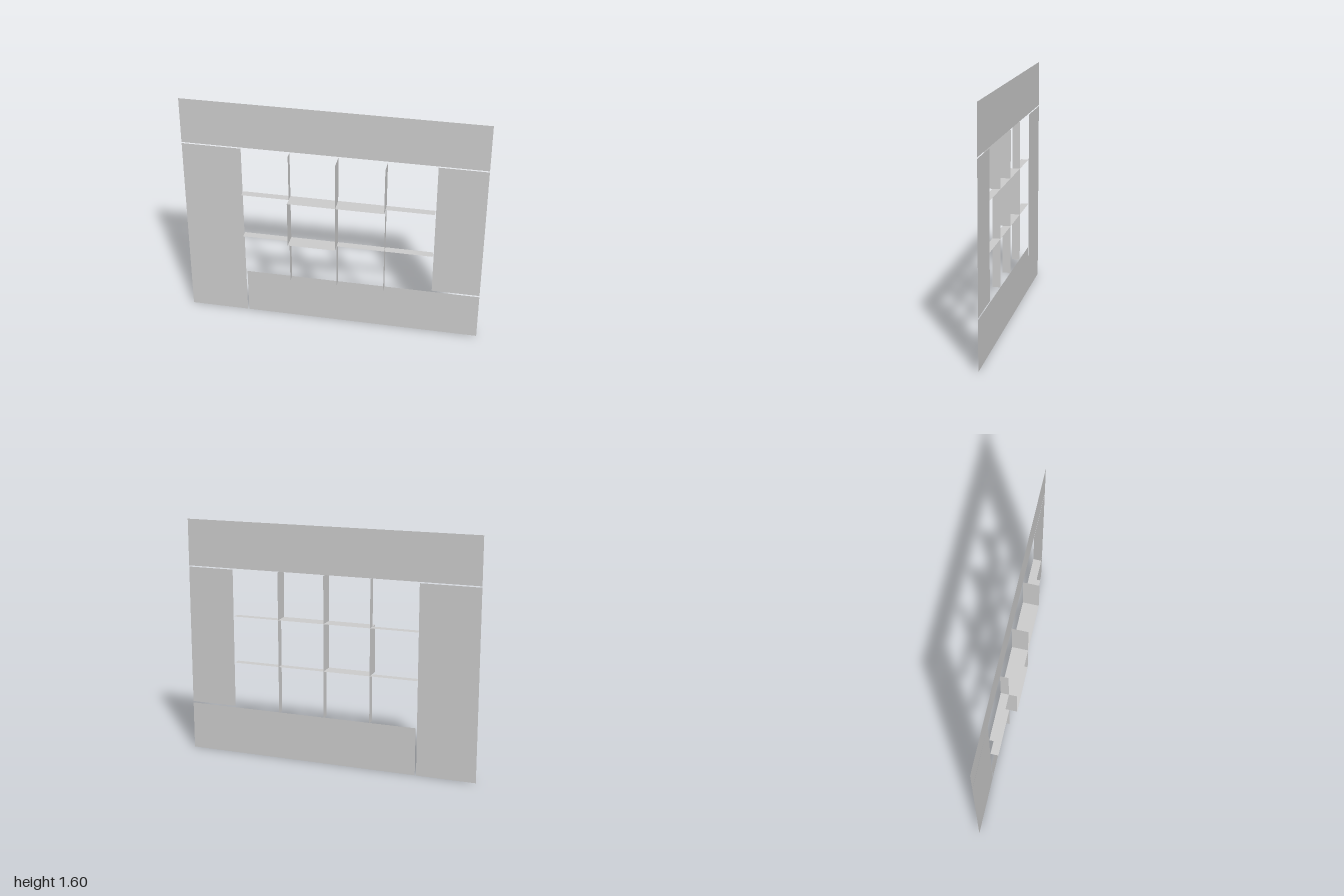
import * as THREE from 'three';

const CELL = 0.319;    // grid spacing
const HALF = 0.053;    // half the full depth; the surround lies on the back plane
const X0 = -0.598, Y0 = 0.319;   // lower corner of the grid

export function createModel() {
  const model = new THREE.Group();
  const material = new THREE.MeshStandardMaterial({ color: 0xcccccc, side: THREE.DoubleSide });

  const sheet = (name, w, h, x, y, z) => {
    const mesh = new THREE.Mesh(new THREE.PlaneGeometry(w, h), material);
    mesh.name = name;
    mesh.position.set(x, y, z);
    model.add(mesh);
    return mesh;
  };

  // Flat surround: four panels with narrow gaps between them
  const panel = (name, x1, x2, y1, y2) =>
    sheet(name, x2 - x1, y2 - y1, (x1 + x2) / 2, (y1 + y2) / 2, -HALF);
  panel('topPanel', -1, 1, 1.282, 1.596);
  panel('sidePanelWide', -1, -0.603, 0, 1.274);
  panel('bottomPanel', -0.594, 1, 0, 0.322);
  panel('sidePanelNarrow', 0.68, 1, 0.332, 1.274);

  // Dividers: one strip per cell, deep (1) or only the back half (0)
  const depthOf = (deep) => (deep ? { d: 2 * HALF, z: 0 } : { d: HALF, z: -HALF / 2 });

  // Uprights, left to right; each listed from bottom to top
  [[0, 1, 0], [0, 1, 1], [0, 0, 1]].forEach((column, i) => {
    column.forEach((deep, row) => {
      const { d, z } = depthOf(deep);
      const strip = sheet('upright', d, CELL, X0 + (i + 1) * CELL, Y0 + (row + 0.5) * CELL, z);
      strip.rotation.y = Math.PI / 2;
    });
  });

  // Shelves, bottom to top; each listed from left to right
  [[0, 1, 0, 0], [0, 1, 1, 0]].forEach((shelf, j) => {
    shelf.forEach((deep, col) => {
      const { d, z } = depthOf(deep);
      const strip = sheet('shelf', CELL, d, X0 + (col + 0.5) * CELL, Y0 + (j + 1) * CELL, z);
      strip.rotation.x = -Math.PI / 2;
    });
  });

  return model;
}
